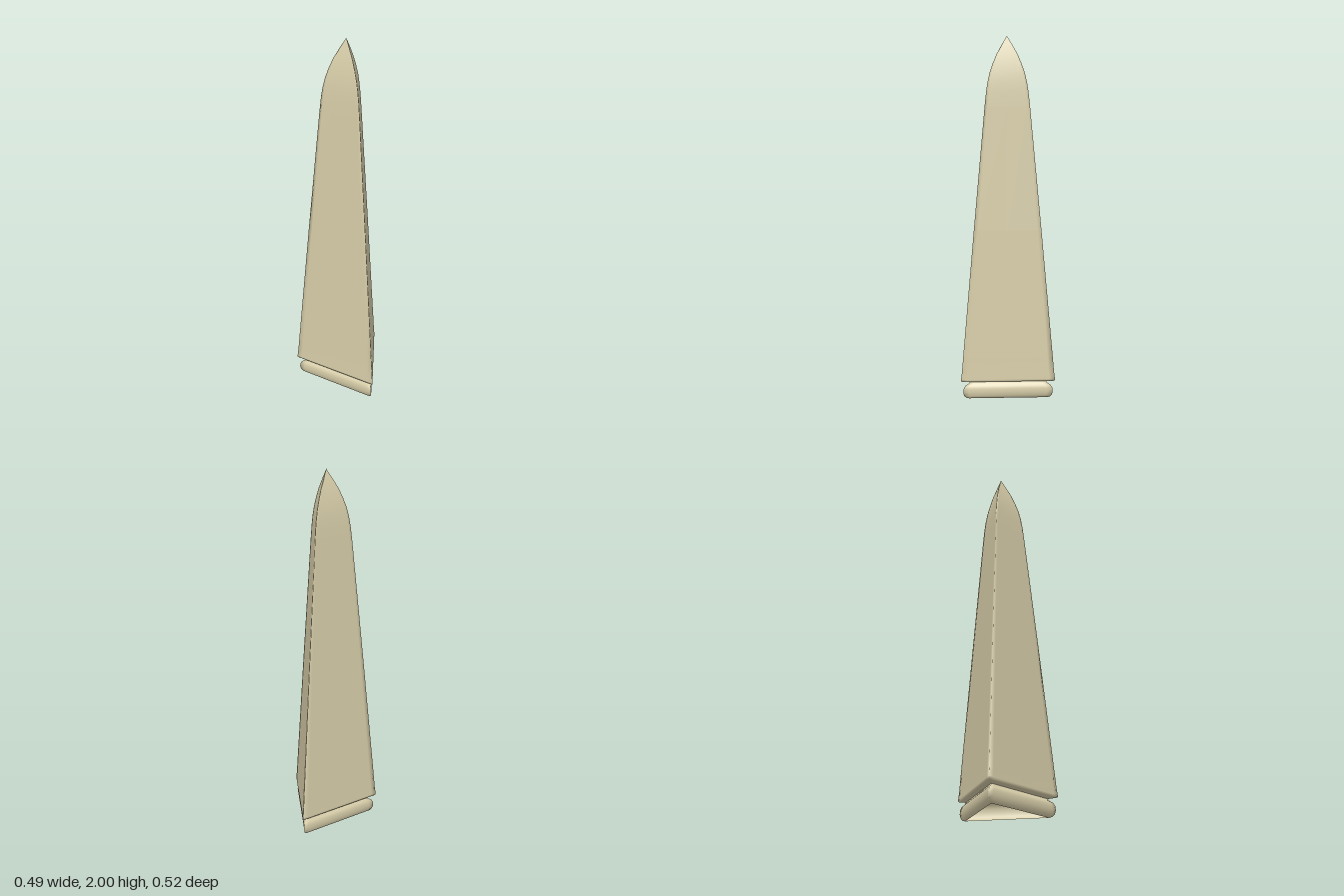
import * as THREE from 'three';

const CENTRE = { x: -0.057, z: -0.022 };
const TURN = THREE.MathUtils.degToRad(-21.7);

// Where points sit along each side; the ones near the ends keep the edge softening narrow
const ALONG = [0, 0.06, 0.5, 0.94];

// Stacks triangular cross-sections; each profile entry is [corner radius, height]
function triangularLoft(profile) {
  const positions = [], index = [];
  const n = ALONG.length * 3;
  const corner = (k, r) => {
    const a = TURN + (k * Math.PI * 2) / 3;
    return new THREE.Vector2(CENTRE.x + r * Math.sin(a), CENTRE.z + r * Math.cos(a));
  };
  for (const [r, y] of profile) {
    for (let k = 0; k < 3; k++) {
      for (const t of ALONG) {
        const p = corner(k, r).lerp(corner(k + 1, r), t);
        positions.push(p.x, y, p.y);
      }
    }
  }
  for (let i = 0; i < profile.length - 1; i++) {
    for (let j = 0; j < n; j++) {
      const a = i * n + j, b = i * n + ((j + 1) % n);
      index.push(a, b, b + n);
      if (profile[i + 1][0] > 0) index.push(a, b + n, a + n);
    }
  }
  const geometry = new THREE.BufferGeometry();
  geometry.setAttribute('position', new THREE.Float32BufferAttribute(positions, 3));
  geometry.setIndex(index);
  geometry.computeVertexNormals();
  return geometry;
}

export function createModel() {
  const model = new THREE.Group();
  model.name = 'obelisk';
  const stone = new THREE.MeshStandardMaterial({ color: 0xd6cca8, side: THREE.DoubleSide });

  const add = (name, profile) => {
    const mesh = new THREE.Mesh(triangularLoft(profile), stone);
    mesh.name = name;
    model.add(mesh);
  };

  // Rounded moulding, open underneath, ending in the groove
  add('baseMoulding', [
    [0.25, 0], [0.268, 0.006], [0.283, 0.02], [0.289, 0.04],
    [0.287, 0.06], [0.277, 0.076], [0.255, 0.086], [0.248, 0.095],
  ]);

  // Tapered shaft curving in at the shoulders to a sharp tip
  add('shaft', [
    [0.248, 0.095], [0.27, 0.1], [0.293, 0.103], [0.302, 0.109], [0.302, 0.118],
    [0.296, 0.16], [0.288, 0.24], [0.214, 0.95], [0.142, 1.62], [0.132, 1.7],
    [0.123, 1.75], [0.11, 1.8], [0.09, 1.85], [0.066, 1.9], [0.034, 1.95], [0, 2],
  ]);

  return model;
}
